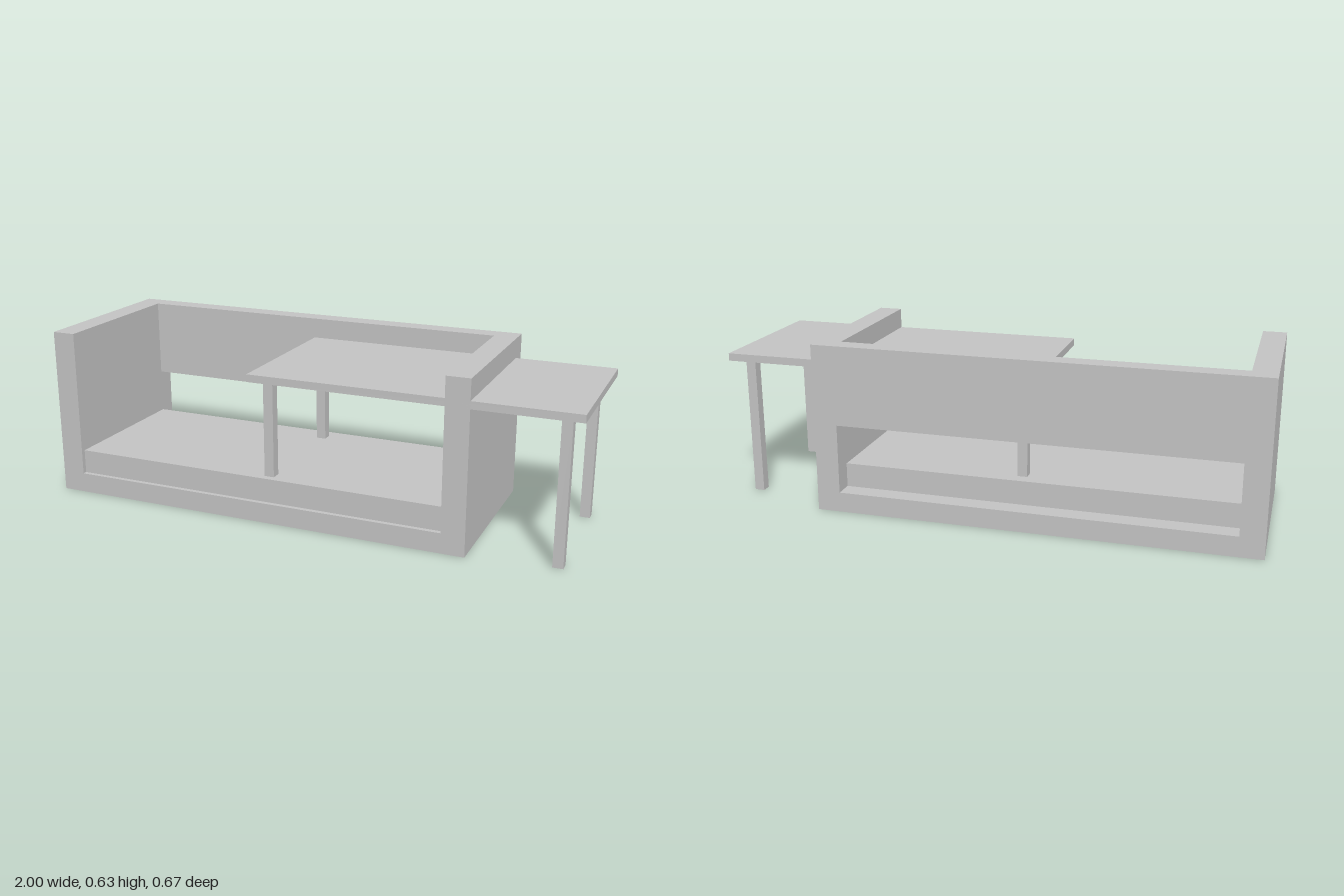
import * as THREE from 'three';

export function createModel() {
  const model = new THREE.Group();
  model.name = 'sofaWithTable';
  const grey = new THREE.MeshStandardMaterial({ color: 0xc2c2c2 });
  grey.name = 'light grey';

  const add = (name, geometry, parent = model) => {
    const mesh = new THREE.Mesh(geometry, grey);
    mesh.name = name;
    parent.add(mesh);
    return mesh;
  };

  // Box given by its lower and upper corners
  const box = (name, [x0, y0, z0], [x1, y1, z1], parent) => {
    const mesh = add(name, new THREE.BoxGeometry(x1 - x0, y1 - y0, z1 - z0), parent);
    mesh.position.set((x0 + x1) / 2, (y0 + y1) / 2, (z0 + z1) / 2);
    return mesh;
  };

  const left = -1, right = 0.627, innerLeft = -0.912, innerRight = 0.54;
  const height = 0.631, floor = 0.075, depth = 0.333, backZ = -0.261;
  const seatTop = 0.165;

  // Base and both arms as one U-shaped frame
  const u = new THREE.Shape([
    [left, 0], [right, 0], [right, height], [innerRight, height],
    [innerRight, floor], [innerLeft, floor], [innerLeft, height], [left, height],
  ].map(([x, y]) => new THREE.Vector2(x, y)));
  add('baseAndArms', new THREE.ExtrudeGeometry(u, { depth: 2 * depth, bevelEnabled: false }))
    .position.z = -depth;

  // Backrest above the open slot, and the seat cushion
  box('backrest', [innerLeft, 0.335, -depth], [innerRight, height, backZ]);
  box('seat', [innerLeft, floor, backZ], [innerRight, seatTop, 0.316]);

  // Table running through the arm
  const table = new THREE.Group();
  table.name = 'table';
  model.add(table);
  const topLow = 0.527;
  box('tableTop', [-0.188, topLow, -0.259], [1, 0.555, depth], table);

  // Inner legs stand on the seat, outer legs on the ground
  for (const [x, foot, side] of [[-0.145, seatTop, 'inner'], [0.917, 0, 'outer']]) {
    for (const [z, end] of [[0.253, 'Front'], [-0.214, 'Back']]) {
      box(`${side}${end}Leg`, [x, foot, z], [x + 0.037, topLow, z + 0.037], table);
    }
  }
  return model;
}
